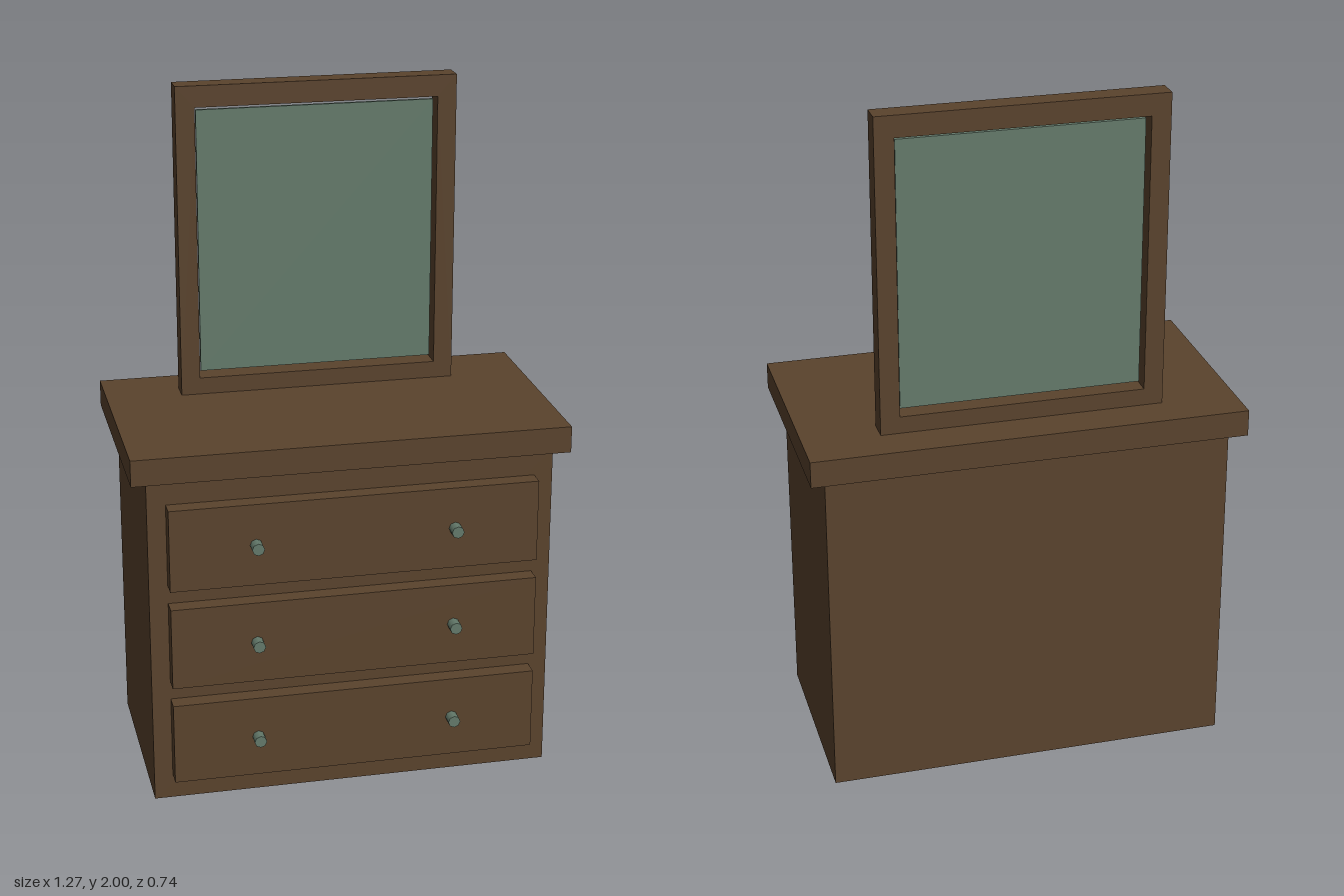
import * as THREE from 'three';

export function createModel() {
  const group = new THREE.Group();
  const wood = new THREE.MeshStandardMaterial({ color: 0x5a432d });
  wood.name = 'dark wood';
  const glass = new THREE.MeshStandardMaterial({ color: 0x647a6b });
  glass.name = 'grey green';

  const add = (name, geometry, material) => {
    const mesh = new THREE.Mesh(geometry, material);
    mesh.name = name;
    group.add(mesh);
    return mesh;
  };
  // Box centred on x, given by half width and its y and z ranges
  const box = (name, halfW, y0, y1, z0, z1, material = wood) =>
    add(name, new THREE.BoxGeometry(halfW * 2, y1 - y0, z1 - z0), material)
      .position.set(0, (y0 + y1) / 2, (z0 + z1) / 2);

  // Cabinet and overhanging top
  box('cabinet', 0.59, 0, 0.997, -0.333, 0.284);
  box('tabletop', 0.635, 0.997, 1.075, -0.37, 0.314);

  // Three drawers, each with two round knobs
  const knobGeometry = new THREE.CylinderGeometry(0.018, 0.018, 0.037, 8);
  knobGeometry.rotateX(Math.PI / 2);
  for (let i = 0; i < 3; i++) {
    const y = 0.197 + i * 0.302;
    box('drawer', 0.536, y - 0.123, y + 0.123, 0.284, 0.334);
    for (const side of [-1, 1]) {
      add('knob', knobGeometry, glass).position.set(side * 0.289, y, 0.3515);
    }
  }

  // Mirror frame: a rectangle with a rectangular opening
  const rectangle = (target, w, y0, y1) => {
    target.moveTo(-w, y0);
    target.lineTo(w, y0);
    target.lineTo(w, y1);
    target.lineTo(-w, y1);
    target.closePath();
    return target;
  };
  const frame = rectangle(new THREE.Shape(), 0.413, 1.075, 2);
  frame.holes.push(rectangle(new THREE.Path(), 0.357, 1.125, 1.937));
  add('mirrorFrame', new THREE.ExtrudeGeometry(frame, { depth: 0.066, bevelEnabled: false }), wood)
    .position.z = -0.254;

  // Mirror pane, set in the middle of the frame with a narrow gap around it
  box('mirrorPane', 0.35, 1.138, 1.924, -0.226, -0.216, glass);

  return group;
}
